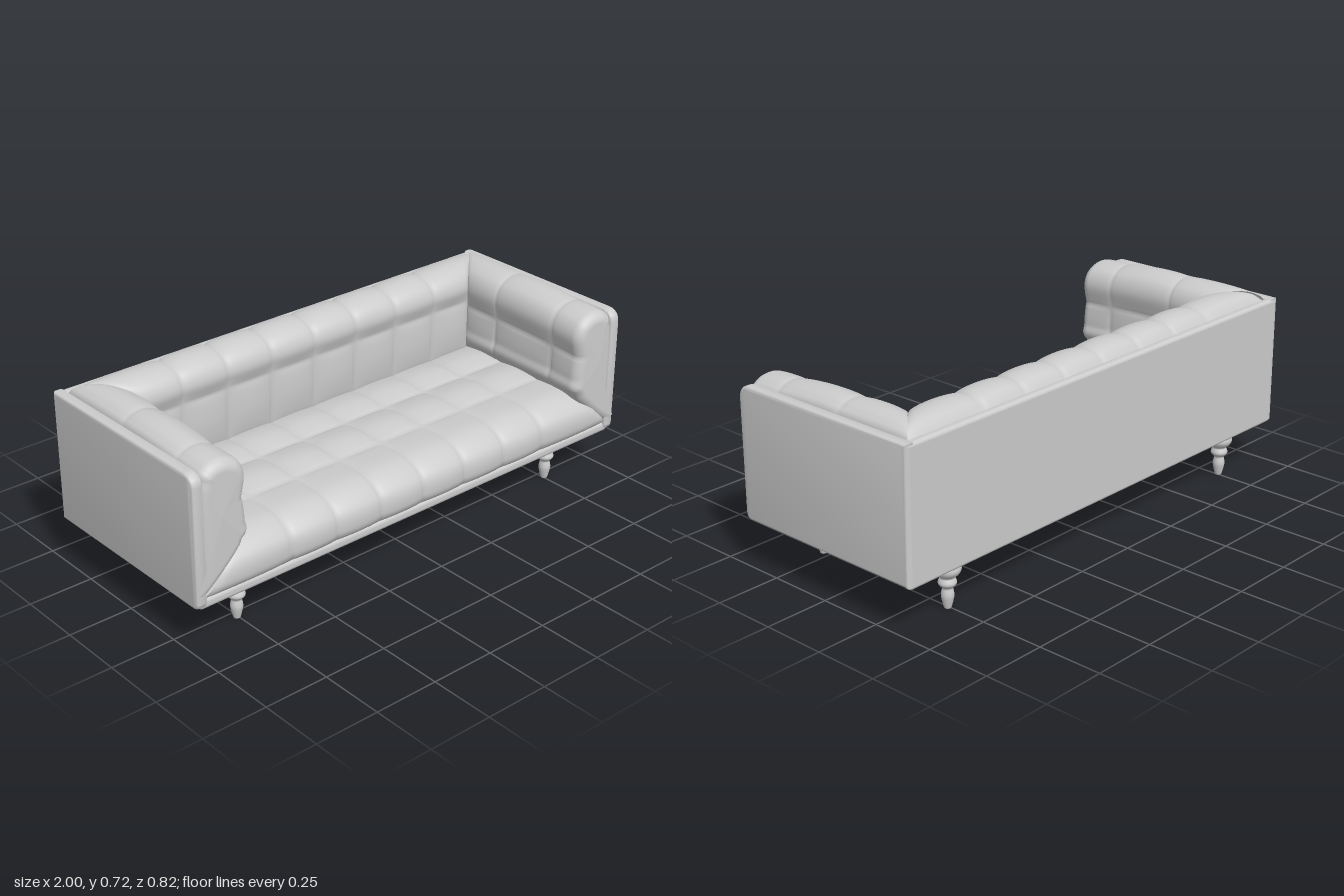
import * as THREE from 'three';
import { toCreasedNormals } from 'three/addons/utils/BufferGeometryUtils.js';
import { RoundedBoxGeometry } from 'three/addons/geometries/RoundedBoxGeometry.js';

const leather = new THREE.MeshStandardMaterial({ color: 0xcccccc });
const padded = new THREE.MeshStandardMaterial({ color: 0xcccccc, side: THREE.DoubleSide });

// Regular grid surface from f(u, v) -> [x, y, z]
function sheet(nu, nv, f) {
  const pos = [], idx = [], row = nu + 1;
  for (let j = 0; j <= nv; j++)
    for (let i = 0; i <= nu; i++) pos.push(...f(i / nu, j / nv));
  for (let j = 0; j < nv; j++)
    for (let i = 0; i < nu; i++) {
      const a = j * row + i, b = a + row;
      idx.push(a, a + 1, b, a + 1, b + 1, b);
    }
  const g = new THREE.BufferGeometry();
  g.setAttribute('position', new THREE.Float32BufferAttribute(pos, 3));
  g.setIndex(idx);
  g.computeVertexNormals();
  return g;
}

// Stuffing height between seams: 0 on a seam, 1 between two seams
function puff(t, seams) {
  let k = 0;
  while (k < seams.length - 2 && t >= seams[k + 1]) k++;
  const s = (t - seams[k]) / (seams[k + 1] - seams[k]);
  return Math.pow(Math.max(0, Math.sin(Math.PI * s)), 0.45);
}

const spline = pts => new THREE.SplineCurve(pts.map(p => new THREE.Vector2(...p)));

// Long tufted cushion: (z, y) profile run along x, with mitred ends
function tufted(pts, seamIds, endX, height) {
  const curve = spline(pts), seams = seamIds.map(i => i / (pts.length - 1));
  return sheet(144, 72, (u, v) => {
    const p = curve.getPoint(v), t = curve.getTangent(v);
    const w = u * 1.6 - 0.8, a = Math.abs(w);
    const x = a <= 0.6 ? w : Math.sign(w) * (0.6 + (a - 0.6) / 0.2 * (endX(p) - 0.6));
    const cell = u * 8 % 1;
    const h = height * puff(cell, [0, 1]) * puff(v, seams);
    return [x, p.y - t.x * h, p.x + t.y * h];
  });
}

// Arm cushion: (x, y) profile run along z, mitred at the back, rounded and closed at the front
function armCushion(side) {
  const pts = [[0.965, 0.215], [0.795, 0.385], [0.79, 0.46], [0.793, 0.55], [0.785, 0.63], [0.805, 0.68],
    [0.845, 0.705], [0.885, 0.712], [0.93, 0.70], [0.958, 0.66], [0.965, 0.5], [0.965, 0.3]];
  const curve = spline(pts), seams = [0, 1, 3, 9, 11].map(i => i / 11);
  const r = 0.04, front = 0.4, mid = [0.89, 0.5];
  return sheet(100, 88, (uu, v) => {
    const u = side > 0 ? uu : 1 - uu;
    const p = curve.getPoint(v), t = curve.getTangent(v);
    let z, inset = 0, cap = 0, pu = 1;
    if (u < 0.3) {
      z = THREE.MathUtils.lerp(0.58 - p.x, -0.05, u / 0.3);
      pu = puff(u / 0.3, [0, 1]);
    } else if (u < 0.6) {
      z = THREE.MathUtils.lerp(-0.05, 0.25, (u - 0.3) / 0.3);
      pu = puff((u - 0.3) / 0.3, [0, 1]);
    } else if (u < 0.75) {
      z = THREE.MathUtils.lerp(0.25, front - r, (u - 0.6) / 0.15);
      pu = Math.pow(Math.sin((u - 0.6) / 0.15 * Math.PI / 2), 0.45);
    } else {
      const a = Math.min(1, (u - 0.75) / 0.15) * Math.PI / 2;
      z = front - r + r * Math.sin(a);
      inset = r * (1 - Math.cos(a));
      cap = Math.max(0, (u - 0.9) / 0.1);
    }
    const h = 0.01 * pu * puff(v, seams) - inset;
    let x = p.x - t.y * h, y = p.y + t.x * h;
    y -= 0.02 * Math.pow(Math.max(0, z / 0.35), 1.5) * Math.max(0, (y - 0.22) / 0.5);
    x += (mid[0] - x) * cap;
    y += (mid[1] - y) * cap;
    return [side * x, y, z + 0.004 * cap];
  });
}

// Upright side panel with rounded corners, in the z-y plane
function sidePanelGeometry() {
  const z0 = -0.395, z1 = 0.385, y0 = 0.192, y1 = 0.67, r = 0.04;
  const s = new THREE.Shape();
  s.moveTo(-z1 + 0.015, y0);
  s.lineTo(-z0, y0);
  s.lineTo(-z0, y1);
  s.lineTo(-z1 + r, y1);
  s.quadraticCurveTo(-z1, y1, -z1, y1 - r);
  s.lineTo(-z1, y0 + 0.015);
  s.quadraticCurveTo(-z1, y0, -z1 + 0.015, y0);
  const g = new THREE.ExtrudeGeometry(s, {
    depth: 0.021, bevelSize: 0.012, bevelThickness: 0.012, bevelSegments: 4, curveSegments: 10 });
  g.translate(0, 0, -0.0105);
  g.rotateY(Math.PI / 2);
  return toCreasedNormals(g, 0.6);
}

export function createModel() {
  const sofa = new THREE.Group();
  sofa.name = 'sofa';
  const add = (name, geometry, material, x = 0, y = 0, z = 0) => {
    const m = new THREE.Mesh(geometry, material);
    m.name = name;
    m.position.set(x, y, z);
    sofa.add(m);
  };

  // Outer shell
  add('base', new RoundedBoxGeometry(1.97, 0.045, 0.795, 4, 0.018), leather, 0, 0.1925, -0.008);
  add('backPanel', new RoundedBoxGeometry(1.985, 0.51, 0.035, 4, 0.014), leather, 0, 0.425, -0.3915);
  const panel = sidePanelGeometry();
  add('leftPanel', panel, leather, 0.9775);
  add('rightPanel', panel, leather, -0.9775);

  // Seat: rolled front and two further rows of tufts
  const seat = [[0.383, 0.212], [0.398, 0.25], [0.385, 0.315], [0.31, 0.362], [0.17, 0.368],
    [0.07, 0.375], [-0.03, 0.368], [-0.13, 0.375], [-0.23, 0.365]];
  add('seatCushion', tufted(seat, [0, 4, 6, 8], p => 0.97 - (p.y - 0.21) * 0.98, 0.014), padded);

  // Backrest: flat lower row below a rolled top
  const back = [[-0.215, 0.36], [-0.21, 0.46], [-0.208, 0.575], [-0.2, 0.64], [-0.225, 0.685],
    [-0.28, 0.707], [-0.34, 0.7], [-0.38, 0.66]];
  add('backCushion', tufted(back, [0, 2, 7], p => 0.58 - p.x, 0.014), padded);

  // Arms
  add('leftArmCushion', armCushion(1), padded);
  add('rightArmCushion', armCushion(-1), padded);

  // Turned legs: ball, ring and tapered foot
  const v = pts => pts.map(p => new THREE.Vector2(...p));
  const foot = new THREE.SplineCurve(v([[0.013, 0.002], [0.019, 0.025], [0.023, 0.05], [0.018, 0.076]])).getPoints(12);
  const ring = new THREE.SplineCurve(v([[0.022, 0.08], [0.031, 0.09], [0.032, 0.1], [0.025, 0.115]])).getPoints(10);
  const ball = new THREE.SplineCurve(v([[0.028, 0.118], [0.043, 0.132], [0.049, 0.15], [0.042, 0.175]])).getPoints(10);
  const leg = new THREE.LatheGeometry([...v([[0, 0], [0.012, 0]]), ...foot, ...ring, ...ball], 28);
  for (const x of [-0.755, 0.755])
    for (const z of [0.28, -0.34])
      add((z > 0 ? 'front' : 'back') + (x > 0 ? 'Left' : 'Right') + 'Leg', leg, leather, x, 0, z);

  return sofa;
}
